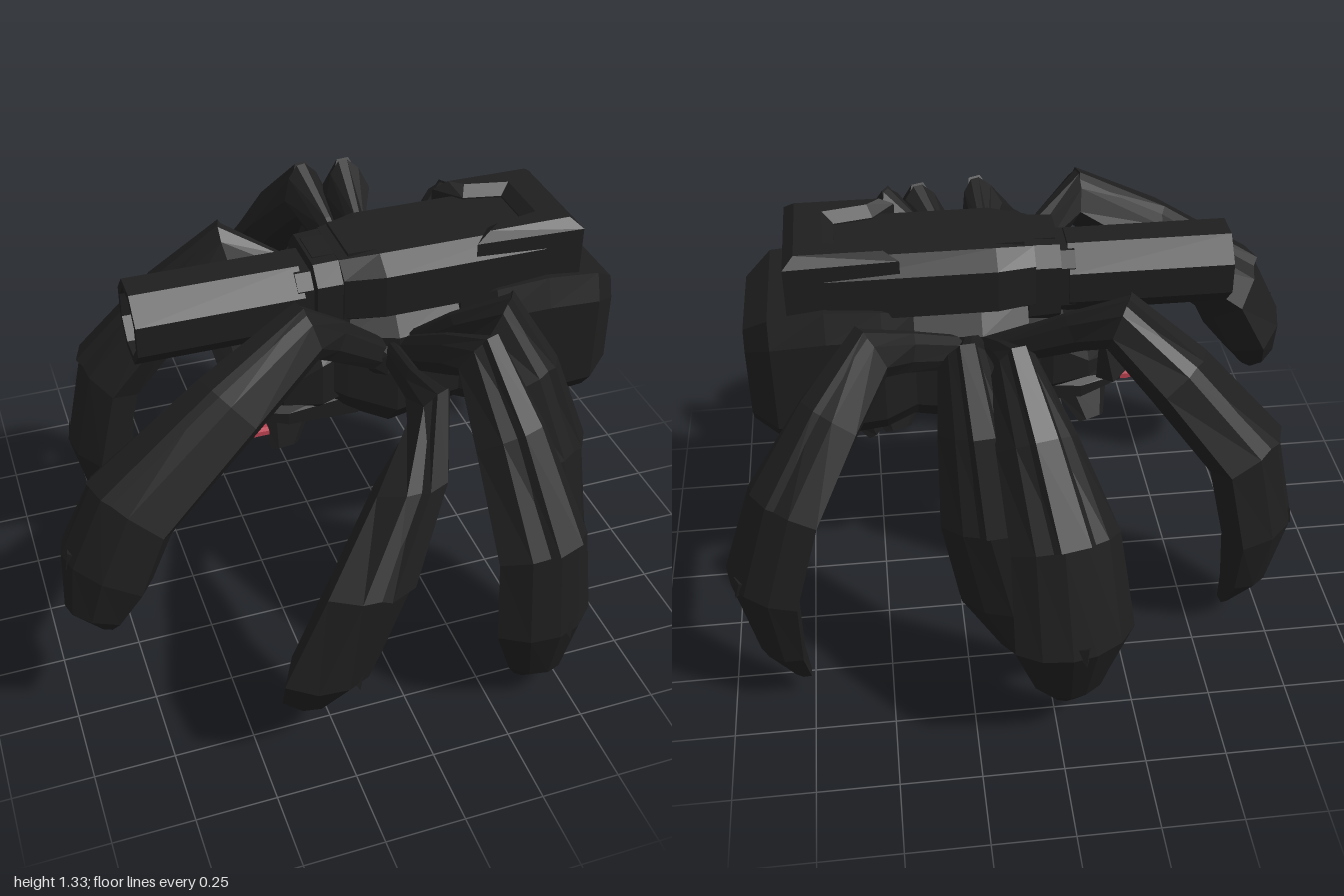
import * as THREE from 'three';

const V = (x, y, z) => new THREE.Vector3(x, y, z);
const UP = V(0, 1, 0);
const MID = 0.05; // z of the body's centre line

// cross-sections, counter-clockwise, one unit across
const LEG_RING = [[0.5, -0.1], [0.33, 0.3], [0.1, 0.5], [-0.1, 0.5], [-0.33, 0.3], [-0.5, -0.1], [-0.28, -0.45], [0.28, -0.45]];
const PLATE_RING = [[0.5, -0.5], [0.3, 0.5], [-0.3, 0.5], [-0.5, -0.5]];
const OCT_RING = [[0.5, -0.3], [0.5, 0.3], [0.33, 0.5], [-0.33, 0.5], [-0.5, 0.3], [-0.5, -0.3], [-0.3, -0.5], [0.3, -0.5]];
const BOX_RING = [[0.5, -0.36], [0.5, 0.3], [0.44, 0.5], [-0.44, 0.5], [-0.5, 0.3], [-0.5, -0.36], [-0.4, -0.5], [0.4, -0.5]];

// Skin a ring through stations { p, L, N, w, t }
function loft(stations, ring) {
  const n = ring.length, pos = [], idx = [];
  for (const s of stations) {
    for (const [u, v] of ring) {
      const q = s.p.clone().addScaledVector(s.L, u * s.w).addScaledVector(s.N, v * s.t);
      pos.push(q.x, q.y, q.z);
    }
  }
  for (let i = 0; i < stations.length - 1; i++) {
    for (let j = 0; j < n; j++) {
      const a = i * n + j, b = i * n + (j + 1) % n;
      idx.push(a, b, a + n, b, b + n, a + n);
    }
  }
  const e = (stations.length - 1) * n;
  for (let j = 1; j < n - 1; j++) idx.push(0, j + 1, j, e, e + j, e + j + 1);
  const g = new THREE.BufferGeometry();
  g.setAttribute('position', new THREE.Float32BufferAttribute(pos, 3));
  g.setIndex(idx);
  const flat = g.toNonIndexed();
  flat.computeVertexNormals();
  return flat;
}

// Stations along +x: rows of [x, y, width, height]
const alongX = (rows, z = MID) => rows.map(([x, y, w, t]) => ({ p: V(x, y, z), L: V(0, 0, -1), N: UP, w, t }));

// Stations along a path of points, framed by a horizontal side vector
function alongPath(points, L, sizes) {
  return points.map((p, i) => {
    const T = points[Math.min(i + 1, points.length - 1)].clone().sub(points[Math.max(i - 1, 0)]).normalize();
    return { p, L, N: T.cross(L).normalize(), w: sizes[i][0], t: sizes[i][1] };
  });
}

export function createModel() {
  const model = new THREE.Group();
  const black = new THREE.MeshStandardMaterial({ color: 0x1e1e1e, flatShading: true });
  black.name = 'black armour';
  const red = new THREE.MeshStandardMaterial({ color: 0xb8404f, flatShading: true });
  red.name = 'red';

  const add = (name, geometry, parent = model, material = black) => {
    const m = new THREE.Mesh(geometry, material);
    m.name = name;
    parent.add(m);
    return m;
  };
  const box = (name, x0, x1, y0, y1, z0, z1) =>
    add(name, new THREE.BoxGeometry(x1 - x0, y1 - y0, z1 - z0)).position.set((x0 + x1) / 2, (y0 + y1) / 2, (z0 + z1) / 2);

  // Body
  add('abdomen', loft(alongX([[0.36, 0.9, 0.36, 0.38], [0.46, 0.91, 0.47, 0.44], [0.63, 0.91, 0.49, 0.47], [0.8, 0.91, 0.49, 0.44], [0.88, 0.9, 0.36, 0.34]]), BOX_RING));
  add('thorax', loft(alongX([[-0.12, 0.9, 0.16, 0.2], [0, 0.9, 0.28, 0.38], [0.15, 0.87, 0.38, 0.46], [0.38, 0.89, 0.36, 0.42]]), OCT_RING));
  add('head', loft(alongX([[-0.25, 0.79, 0.1, 0.06], [-0.2, 0.8, 0.2, 0.1], [-0.08, 0.84, 0.26, 0.24], [0.04, 0.86, 0.2, 0.26]]), OCT_RING));
  add('jaw', loft(alongX([[-0.32, 0.71, 0.06, 0.03], [-0.18, 0.7, 0.17, 0.07], [0.05, 0.72, 0.2, 0.12]]), OCT_RING));
  for (const s of [-1, 1]) {
    const horn = add('horn', new THREE.ConeGeometry(0.05, 0.2, 4));
    horn.position.set(-0.26, 0.85, MID + s * 0.07);
    horn.rotation.z = -0.2;
  }
  add('tongue', loft(alongX([[-0.41, 0.683, 0.07, 0.014], [-0.35, 0.675, 0.08, 0.03], [-0.25, 0.675, 0.08, 0.025]], 0.11), OCT_RING), model, red);

  // Cannon on the back
  box('cannonMount', -0.04, 0.4, 1.0, 1.15, -0.06, 0.16);
  add('cannonBody', loft(alongX([[-0.02, 1.16, 0.31, 0.22], [0.1, 1.17, 0.39, 0.23], [0.62, 1.17, 0.39, 0.23]]), OCT_RING));
  box('cannonTopPlate', 0.01, 0.44, 1.27, 1.285, MID - 0.1, MID + 0.1);
  add('cannonCollar', loft(alongX([[-0.1, 1.13, 0.29, 0.27], [0, 1.13, 0.3, 0.28]]), OCT_RING));
  box('cannonSight', -0.09, -0.01, 1.25, 1.27, MID - 0.06, MID + 0.06);

  // breech with a notch at its front, drawn in plan
  const plan = new THREE.Shape([[0.44, -0.165], [0.705, -0.165], [0.705, 0.165], [0.44, 0.165], [0.48, 0.13], [0.62, 0.1], [0.62, -0.1], [0.48, -0.13]]
    .map(([x, z]) => new THREE.Vector2(x, z)));
  const breech = add('cannonBreech', new THREE.ExtrudeGeometry(plan, { depth: 0.18, bevelThickness: 0.03, bevelSize: 0.035, bevelSegments: 1 }));
  breech.rotation.x = -Math.PI / 2;
  breech.position.set(0, 1.11, MID);

  const octagon = (r) => Array.from({ length: 8 }, (_, i) => {
    const a = (i + 0.5) * Math.PI / 4;
    return new THREE.Vector2(Math.cos(a) * r, Math.sin(a) * r);
  });
  const tube = new THREE.Shape(octagon(0.132));
  tube.holes.push(new THREE.Path(octagon(0.105)));
  const barrel = add('barrel', new THREE.ExtrudeGeometry(tube, { depth: 0.52, bevelEnabled: false }));
  barrel.rotation.y = Math.PI / 2;
  barrel.position.set(-0.65, 1.12, MID);
  add('barrelRing', loft(alongX([[-0.15, 1.12, 0.22, 0.22], [-0.1, 1.12, 0.22, 0.22]]), OCT_RING));

  // Legs: knee, shin, ankle, tip, foot width, thickness, and facing if not straight out
  const legs = [
    ['frontLegA', [-0.2, 1.2, 0.38], [-0.77, 0.78, 0.47], [-0.86, 0.6, 0.48], [-0.89, 0.4, 0.52], 0.38, 0.25],
    ['frontLegB', [0.08, 1.05, 0.65], [-0.15, 0.67, 0.87], [-0.27, 0.38, 0.88], [-0.34, 0.05, 0.68], 0.38, 0.19, [0.4, 0.9]],
    ['frontLegC', [0.29, 1.1, 0.52], [0.39, 0.62, 0.85], [0.41, 0.34, 0.87], [0.42, 0, 0.77], 0.38, 0.19],
    ['frontLegD', [0.38, 1.15, 0.42], [0.54, 0.72, 0.53], [0.56, 0.42, 0.59], [0.51, 0.08, 0.66], 0.34, 0.19, [0.85, 0.5]],
    ['backLegA', [-0.25, 1.12, -0.27], [-0.65, 0.68, -0.36], [-0.71, 0.4, -0.37], [-0.64, 0.04, -0.35], 0.37, 0.22],
    ['backLegB', [0.09, 1.14, -0.52], [-0.02, 0.75, -0.84], [-0.04, 0.45, -0.93], [-0.04, 0.06, -0.76], 0.37, 0.14],
    ['backLegC', [0.23, 1.15, -0.48], [0.17, 0.7, -0.66], [0.1, 0.4, -0.66], [0.01, 0.02, -0.56], 0.35, 0.17],
    ['backLegD', [0.5, 1.1, -0.32], [0.79, 0.72, -0.52], [0.88, 0.45, -0.56], [0.79, 0.08, -0.57], 0.36, 0.16],
  ];
  for (const [name, k, m, a, t, w, d, facing] of legs) {
    const leg = new THREE.Group();
    leg.name = name;
    model.add(leg);
    const [knee, shin, ankle, tip] = [k, m, a, t].map((p) => V(...p));
    const hip = V(0.13 + k[0] * 0.12, 0.93, MID + Math.sign(k[2]) * 0.15);
    const R = (facing ? V(facing[0], 0, facing[1]) : ankle.clone().sub(hip).setY(0)).normalize();
    const L = UP.clone().cross(R);
    const strut = hip.clone().lerp(knee, 0.65);
    const thigh = knee.clone().lerp(shin, 0.4).addScaledVector(R, 0.02);
    const claw = ankle.clone().lerp(tip, 0.65).addScaledVector(R, 0.025);
    const path = [hip, strut, knee, thigh, shin, ankle, claw, tip];
    const sizes = [[0.08, 0.1], [0.09, 0.13], [0.16, 0.18], [w * 0.67, (d + 0.19) / 2], [w * 0.9, d * 1.05], [w, d], [w * 0.64, d * 0.7], [0.11, 0.05]];
    const stations = alongPath(path, L, sizes);
    add('legArmour', loft(stations, LEG_RING), leg);

    // raised plate on the outside of the leg
    const plate = stations.slice(2, 5).map((s) => ({
      ...s, p: s.p.clone().addScaledVector(s.N, s.t * 0.44), w: s.w * 0.45, t: s.t * 0.2,
    }));
    add('thighPlate', loft(plate, PLATE_RING), leg);

    // spur over the ankle and ball joint at the hip
    const s = stations[5];
    const spur = add('ankleSpur', new THREE.ConeGeometry(0.03, 0.06, 4), leg);
    spur.position.copy(s.p).addScaledVector(s.N, s.t * 0.46);
    spur.quaternion.setFromUnitVectors(UP, s.N.clone().addScaledVector(UP, -1.8).normalize());
    add('hipJoint', new THREE.IcosahedronGeometry(0.07, 0), leg).position.copy(hip);
  }
  return model;
}
